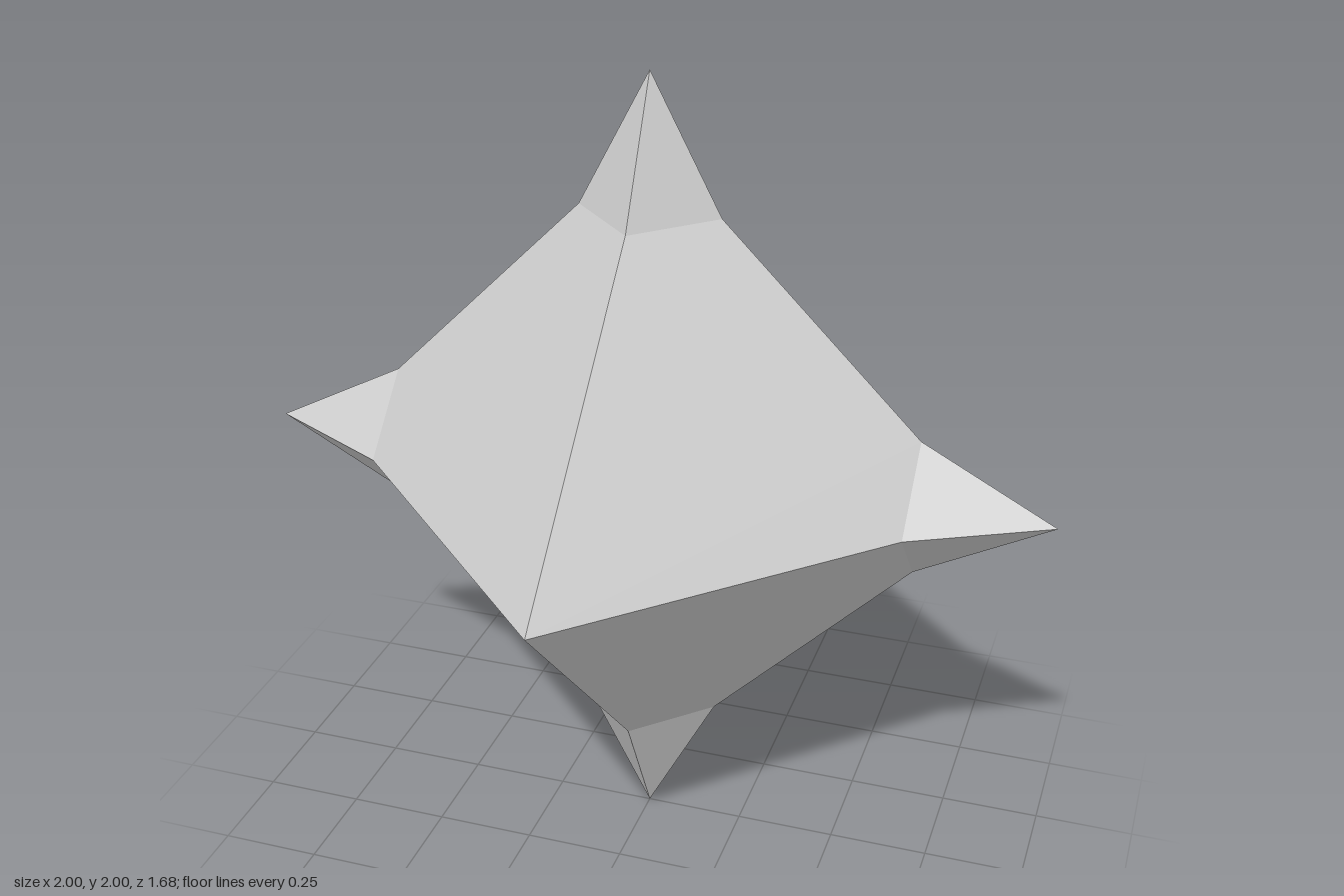
import * as THREE from 'three';

const CUT = 0.667;       // where a spike takes over from the body
const HALF = 0.175;      // half diagonal of the spike base
const TIP = CUT + HALF;  // front and back corners of the body

// Octahedral body with its x and y corners cut off, one pentagon per octant
function bodyGeometry() {
  const pentagon = [
    [0, 0, TIP], [CUT, 0, HALF], [CUT, HALF, 0], [HALF, CUT, 0], [0, CUT, HALF],
  ];
  const positions = [];
  for (const sx of [1, -1]) for (const sy of [1, -1]) for (const sz of [1, -1]) {
    const p = pentagon.map(([x, y, z]) => [x * sx, y * sy, z * sz]);
    if (sx * sy * sz < 0) p.reverse(); // mirrored octants need the opposite winding
    for (let i = 1; i < 4; i++) positions.push(...p[0], ...p[i], ...p[i + 1]);
  }
  const geometry = new THREE.BufferGeometry();
  geometry.setAttribute('position', new THREE.Float32BufferAttribute(positions, 3));
  geometry.computeVertexNormals();
  return geometry;
}

// Open four-sided pyramid sitting on a cut corner, pointing up
function spikeGeometry() {
  const geometry = new THREE.ConeGeometry(HALF, 1 - CUT, 4, 1, true).toNonIndexed();
  geometry.translate(0, (1 + CUT) / 2, 0);
  geometry.computeVertexNormals();
  return geometry;
}

export function createModel() {
  const grey = new THREE.MeshStandardMaterial({ color: 0xcccccc, flatShading: true });
  grey.name = 'light grey';

  const model = new THREE.Group();
  model.name = 'spikedOctahedron';

  const body = new THREE.Mesh(bodyGeometry(), grey);
  body.name = 'body';
  model.add(body);

  // Four spikes around the z axis
  const spike = spikeGeometry();
  ['topSpike', 'rightSpike', 'bottomSpike', 'leftSpike'].forEach((name, i) => {
    const mesh = new THREE.Mesh(spike, grey);
    mesh.name = name;
    mesh.rotation.z = i * Math.PI / 2;
    model.add(mesh);
  });

  model.children.forEach((part) => { part.position.y = 1; });
  return model;
}
